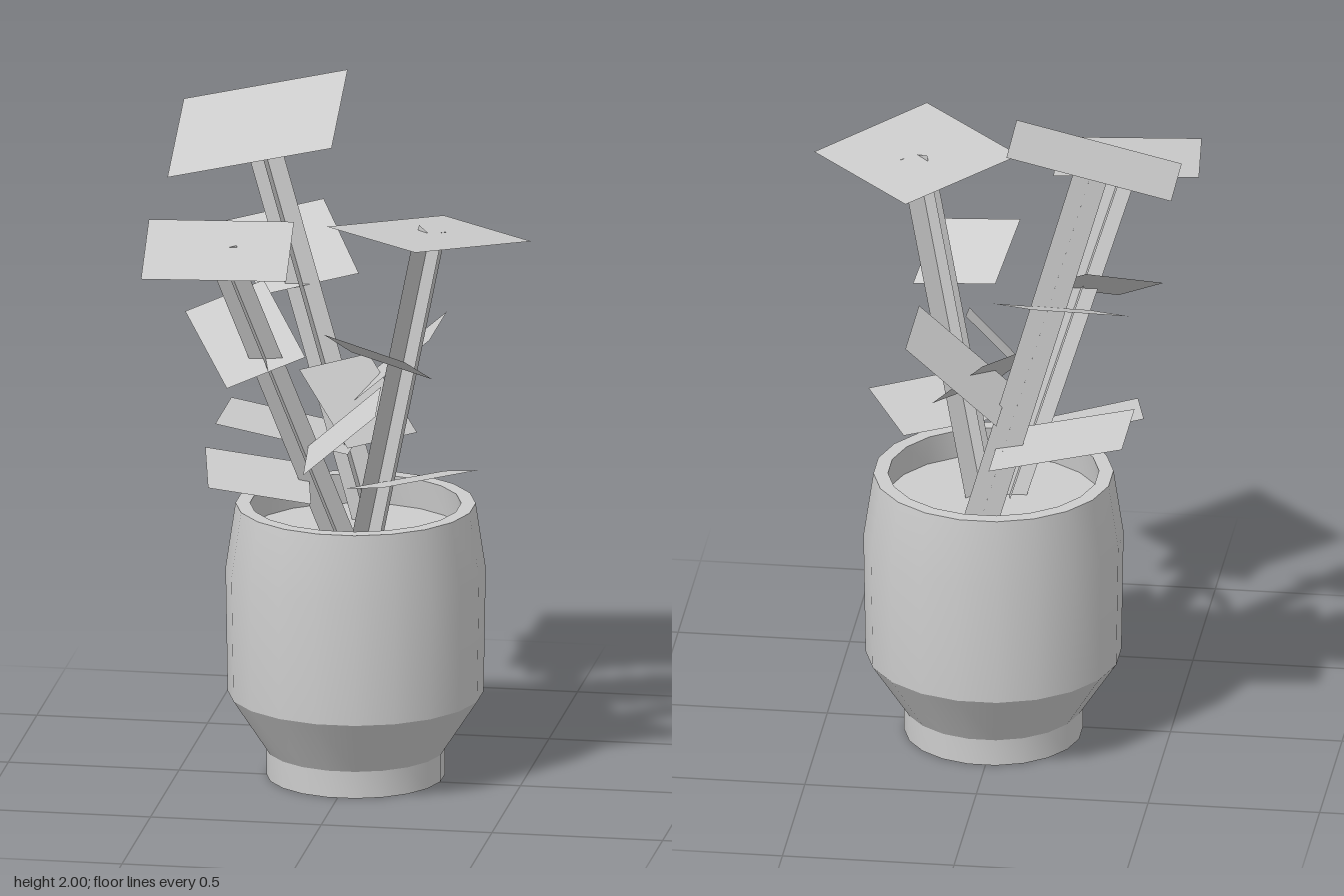
import * as THREE from 'three';
import { toCreasedNormals } from 'three/addons/utils/BufferGeometryUtils.js';

const lightGrey = new THREE.MeshStandardMaterial({ color: 0xcccccc, side: THREE.DoubleSide });
lightGrey.name = 'lightGrey';

// Flat four-cornered sheet; corners run around the outline
function sheet(name, [a, b, c, d]) {
  const geo = new THREE.BufferGeometry();
  geo.setAttribute('position', new THREE.Float32BufferAttribute([...a, ...b, ...c, ...a, ...c, ...d], 3));
  geo.computeVertexNormals();
  const mesh = new THREE.Mesh(geo, lightGrey);
  mesh.name = name;
  return mesh;
}

// Stem made of two crossed sheets, turned by yaw around its own axis
function stem(name, from, to, yaw, halfWidth) {
  const start = new THREE.Vector3(...from), end = new THREE.Vector3(...to);
  const axis = end.clone().sub(start).normalize();
  const group = new THREE.Group();
  group.name = name;
  for (const turn of [0, Math.PI / 2]) {
    const side = new THREE.Vector3(Math.cos(yaw + turn), 0, -Math.sin(yaw + turn));
    side.addScaledVector(axis, -side.dot(axis)).setLength(halfWidth);
    group.add(sheet('stemBlade', [
      start.clone().sub(side), start.clone().add(side),
      end.clone().add(side), end.clone().sub(side),
    ]));
  }
  return group;
}

export function createModel() {
  const model = new THREE.Group();
  model.name = 'pottedPlant';

  // Pot: foot, flare, body, shoulder, rim and inner wall
  const profile = [
    [0, 0], [0.258, 0], [0.258, 0.08], [0.37, 0.25], [0.376, 0.62],
    [0.347, 0.815], [0.305, 0.815], [0.315, 0.72],
  ].map(([r, y]) => new THREE.Vector2(r, y));
  const pot = new THREE.Mesh(toCreasedNormals(new THREE.LatheGeometry(profile, 20), 0.45), lightGrey);
  pot.name = 'pot';
  pot.rotation.y = Math.PI / 20;
  pot.position.set(0.01, 0, -0.043);
  model.add(pot);

  // Soil
  const soil = new THREE.Mesh(new THREE.CircleGeometry(0.315, 20).rotateX(-Math.PI / 2), lightGrey);
  soil.name = 'soil';
  soil.rotation.y = Math.PI / 20;
  soil.position.set(0.01, 0.725, -0.043);
  model.add(soil);

  // Stems
  model.add(
    stem('tallStem', [0.03, 0.72, -0.18], [-0.305, 1.885, -0.215], 0, 0.05),
    stem('frontStem', [-0.03, 0.72, 0], [-0.325, 1.66, 0.31], 0.1, 0.047),
    stem('leftStem', [0.05, 0.72, 0], [0.267, 1.7, 0.195], 0.77, 0.057),
  );

  // Large leaves capping the stems
  const topLeaves = [
    [[-0.56, 1.89, -0.443], [-0.08, 2.0, -0.443], [-0.047, 1.9, 0.037], [-0.528, 1.79, 0.037]],
    [[-0.563, 1.695, 0.152], [-0.145, 1.695, 0.11], [-0.1, 1.632, 0.517], [-0.518, 1.632, 0.56]],
    [[0.259, 1.675, -0.098], [0.563, 1.693, 0.191], [0.274, 1.73, 0.492], [-0.033, 1.712, 0.203]],
  ];
  topLeaves.forEach((corners) => model.add(sheet('topLeaf', corners)));

  // Smaller leaves along the stems
  const sideLeaves = [
    [[-0.015, 1.434, 0.365], [0.235, 1.386, 0.446], [0.28, 1.275, 0.228], [0.03, 1.323, 0.15]],
    [[-0.035, 1.09, -0.325], [0.23, 1.32, -0.325], [0.23, 1.32, -0.02], [-0.035, 1.09, -0.02]],
    [[-0.44, 1.525, -0.46], [-0.17, 1.575, -0.56], [-0.015, 1.445, -0.25], [-0.285, 1.395, -0.15]],
    [[-0.472, 1.397, 0.06], [-0.31, 1.24, 0.3], [-0.1, 1.31, 0.18], [-0.262, 1.467, -0.06]],
    [[-0.105, 1.02, 0.1], [-0.095, 0.975, 0.25], [0.125, 1.175, 0.3], [0.115, 1.22, 0.14]],
    [[-0.148, 1.22, 0], [0.022, 1.22, -0.2], [0.187, 1.03, -0.06], [0.017, 1.03, 0.14]],
    [[-0.4, 1.035, -0.035], [-0.4, 1.035, -0.32], [-0.015, 0.955, -0.345], [-0.015, 0.955, -0.055]],
    [[0.145, 0.968, 0.32], [0.397, 0.98, 0.13], [0.27, 0.92, -0.055], [0.01, 0.908, 0.135]],
    [[-0.42, 0.98, 0.02], [-0.37, 0.93, 0.27], [-0.08, 0.875, 0.2], [-0.13, 0.925, -0.05]],
  ];
  sideLeaves.forEach((corners) => model.add(sheet('sideLeaf', corners)));

  return model;
}
